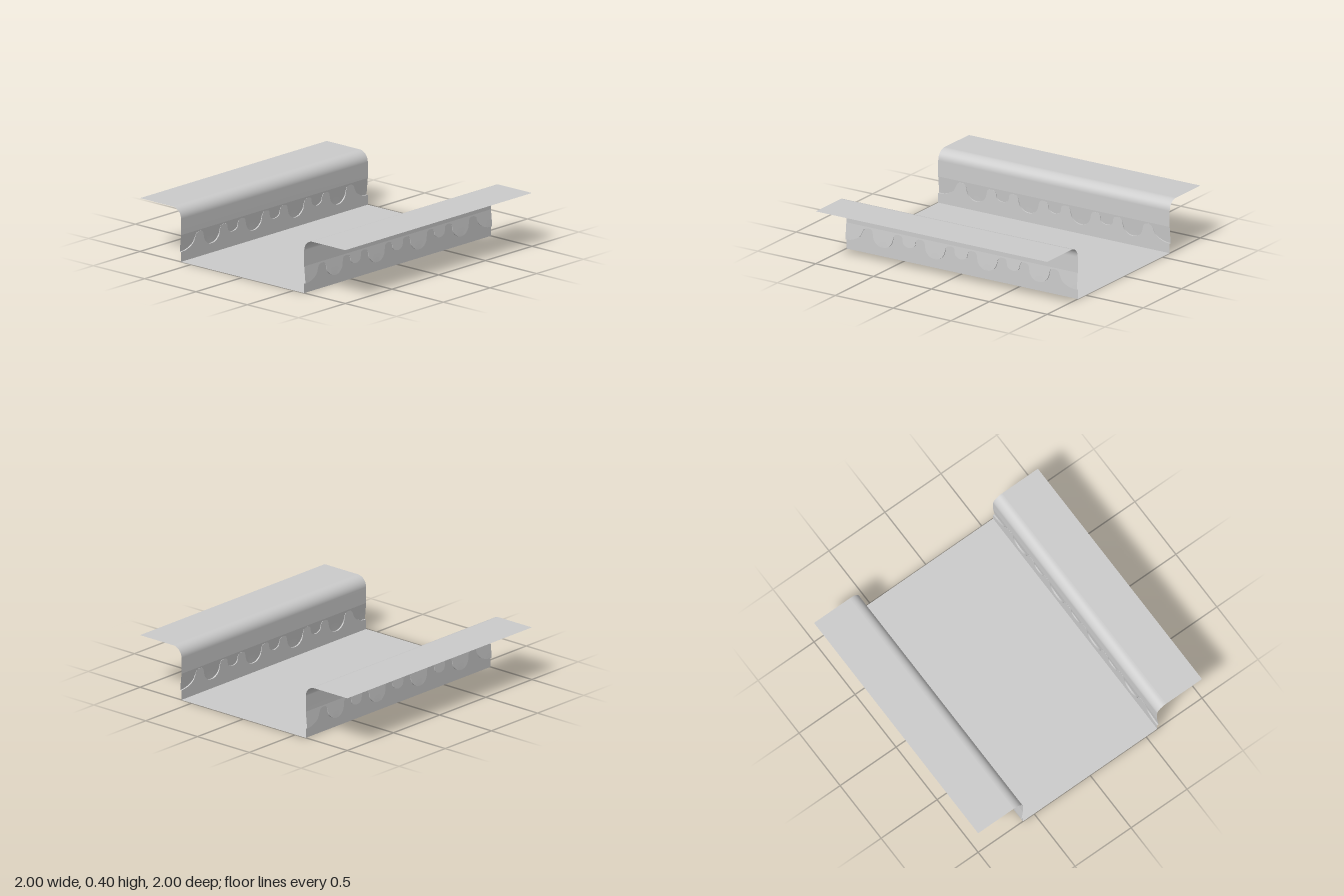
import * as THREE from 'three';

const material = new THREE.MeshStandardMaterial({ color: 0xcccccc, side: THREE.DoubleSide });
const WALL = 0.6, HEIGHT = 0.4, RADIUS = 0.08, FLAP_TOP = 0.2;

// Scalloped edge along the wall: wide deep lobes alternating with small shallow ones
function scallopEdge() {
  const points = [[-1, 0.073], [-0.95, 0.08], [-0.88, 0.115]];
  const peaks = [-0.81, -0.55, -0.36, -0.1, 0.09, 0.35, 0.54, 0.8];
  peaks.forEach((p, i) => {
    points.push([p - 0.032, 0.18], [p, 0.189], [p + 0.032, 0.18]);
    if (i === peaks.length - 1) return;
    const next = peaks[i + 1], mid = (p + next) / 2;
    if (i % 2) points.push([p + 0.047, 0.13], [mid, 0.111], [next - 0.047, 0.13]);
    else points.push([p + 0.055, 0.11], [mid - 0.03, 0.075], [mid + 0.03, 0.075], [next - 0.055, 0.11]);
  });
  points.push([0.87, 0.115], [0.94, 0.08], [1, 0.073]);
  return new THREE.CatmullRomCurve3(points.map(([x, y]) => new THREE.Vector3(x, y, 0)), false, 'centripetal').getPoints(320);
}

// Sheet through a cross-section that may change at each station along x
function sheet(name, stations, section) {
  const positions = [], index = [];
  let rows = 0;
  stations.forEach((p) => {
    const profile = section(p);
    rows = profile.length;
    profile.forEach(([z, y]) => positions.push(p.x, y, z));
  });
  for (let i = 0; i < stations.length - 1; i++) {
    for (let j = 0; j < rows - 1; j++) {
      const a = i * rows + j, b = a + rows;
      index.push(a, b, b + 1, a, b + 1, a + 1);
    }
  }
  const geometry = new THREE.BufferGeometry();
  geometry.setAttribute('position', new THREE.Float32BufferAttribute(positions, 3));
  geometry.setIndex(index);
  geometry.computeVertexNormals();
  const mesh = new THREE.Mesh(geometry, material);
  mesh.name = name;
  return mesh;
}

// How far the flap stands off the wall at height y
const offset = (y) => 0.012 * Math.min(1, (FLAP_TOP - y) / 0.12);

function createSide(name) {
  const side = new THREE.Group();
  side.name = name;
  const edge = scallopEdge();
  const ends = [new THREE.Vector3(-1, 0, 0), new THREE.Vector3(1, 0, 0)];

  // Rounded bend from the wall into the outward flange
  const bend = [[WALL, FLAP_TOP]];
  for (let i = 0; i <= 12; i++) {
    const a = (i / 12) * Math.PI / 2;
    bend.push([WALL + RADIUS * (1 - Math.cos(a)), HEIGHT - RADIUS * (1 - Math.sin(a))]);
  }

  side.add(
    sheet('lowerWall', edge, (p) => [[WALL, 0], [WALL, p.y]]),
    sheet('scallopLip', edge, (p) => [[WALL, p.y], [WALL + offset(p.y), p.y]]),
    sheet('scallopFlap', edge, (p) => [0, 0.25, 0.5, 0.75, 1].map((t) => {
      const y = p.y + (FLAP_TOP - p.y) * t;
      return [WALL + offset(y), y];
    })),
    sheet('upperWallAndBend', ends, () => bend),
    sheet('flange', ends, () => [[WALL + RADIUS, HEIGHT], [1, HEIGHT]]),
  );
  return side;
}

export function createModel() {
  const model = new THREE.Group();
  model.name = 'channelTray';

  // Flat floor between the walls
  const floor = new THREE.Mesh(new THREE.PlaneGeometry(2, 2 * WALL), material);
  floor.name = 'floor';
  floor.rotation.x = -Math.PI / 2;

  const front = createSide('frontSide');
  const back = createSide('backSide');
  back.rotation.y = Math.PI;
  model.add(floor, front, back);
  return model;
}
